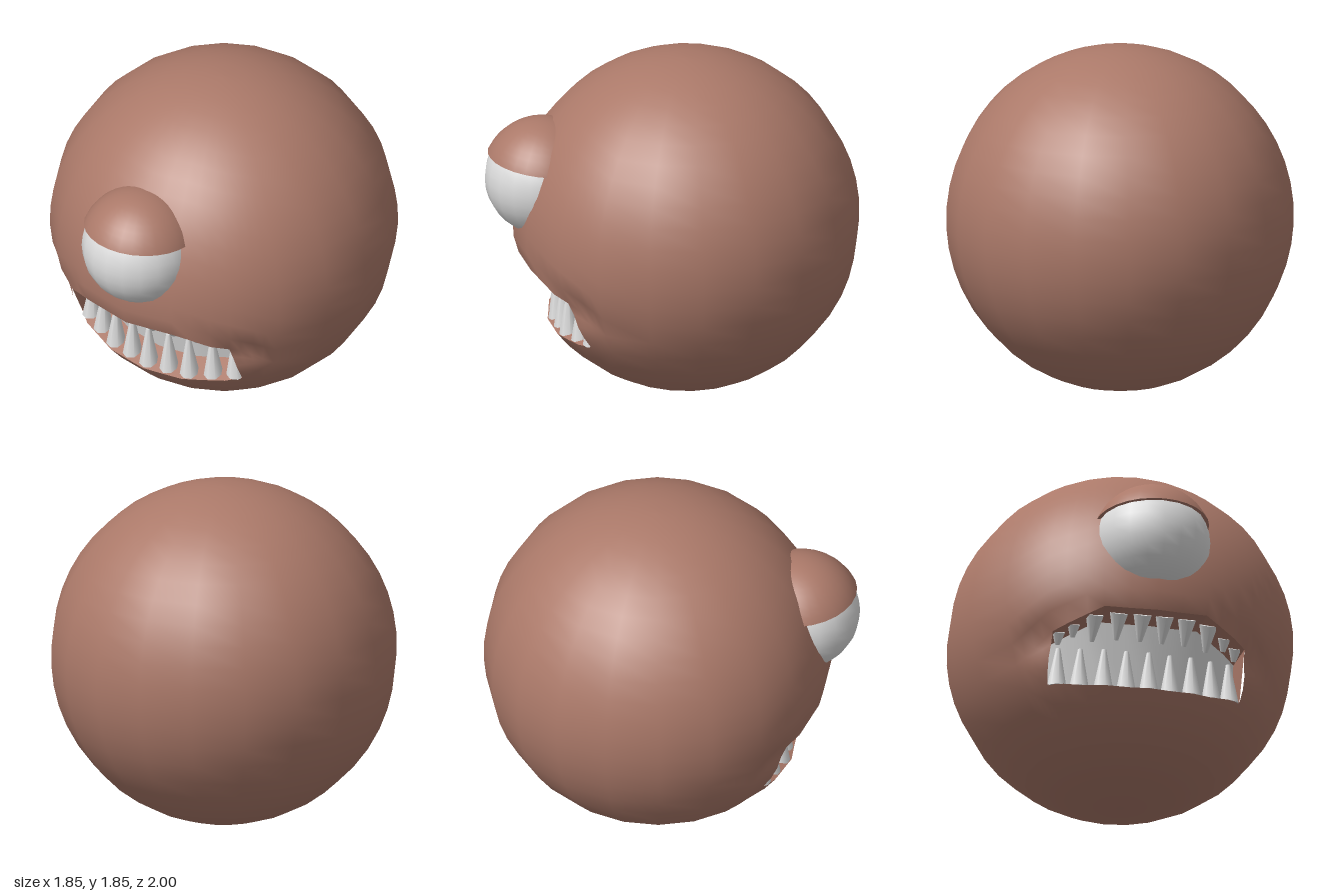
import * as THREE from 'three';
import { mergeGeometries } from 'three/addons/utils/BufferGeometryUtils.js';

const R = 0.925, CY = 0.925, CZ = -0.075;
const rad = THREE.MathUtils.degToRad, lerp = THREE.MathUtils.lerp;

// Point on the body: a 20-sided ball, pressed in around the mouth
function bodyPoint(az, th, faceted = true) {
  const a = rad(az), step = Math.PI / 10;
  const local = a - Math.floor(a / step) * step - step / 2;
  const flat = faceted ? Math.cos(step / 2) / Math.cos(local) : 1;
  const d = new THREE.Vector3(
    Math.sin(th) * Math.sin(a) * flat, Math.cos(th), Math.sin(th) * Math.cos(a) * flat);
  let dent = 0;
  if (d.z > 0) {
    const x = Math.abs(d.x * R), y = CY + d.y * R;
    dent += 0.035 * Math.exp(-(((x - 0.58) / 0.12) ** 2) - ((y - 0.64) / 0.09) ** 2);
    dent += 0.018 * Math.exp(-((x / 0.5) ** 4) - ((y - 0.74) / 0.06) ** 2);
  }
  return d.multiplyScalar(R - dent).add(new THREE.Vector3(0, CY, CZ));
}

function bodyNormal(az, th) {
  const t = THREE.MathUtils.clamp(th, 0.02, Math.PI - 0.02), e = 0.01;
  const down = bodyPoint(az, t + e, false).sub(bodyPoint(az, t - e, false));
  const right = bodyPoint(az + 0.5, t, false).sub(bodyPoint(az - 0.5, t, false));
  return down.cross(right).normalize();
}

// Surface through rows of points, rows running down and points to the right
function grid(rows, normals) {
  const n = rows[0].length, index = [];
  for (let j = 0; j < rows.length - 1; j++) {
    for (let i = 0; i < n - 1; i++) {
      const a = j * n + i, b = a + n;
      index.push(a, b, b + 1, a, b + 1, a + 1);
    }
  }
  const g = new THREE.BufferGeometry().setFromPoints(rows.flat());
  g.setIndex(index);
  if (normals) {
    g.setAttribute('normal', new THREE.Float32BufferAttribute(
      normals.flat().flatMap(v => v.toArray()), 3));
  } else g.computeVertexNormals();
  return g;
}

// Body patch between two edges of [azimuth, polar angle]
function patch(top, bottom, count) {
  const pts = [], nor = [];
  for (let j = 0; j <= count; j++) {
    const row = top.map((p, i) =>
      [lerp(p[0], bottom[i][0], j / count), lerp(p[1], bottom[i][1], j / count)]);
    pts.push(row.map(p => bodyPoint(...p)));
    nor.push(row.map(p => bodyNormal(...p)));
  }
  return grid(pts, nor);
}

const mirror = half => [...half.slice(1).reverse().map(p => [-p[0], p[1]]), ...half];

// Half of a lip edge, continued over the cheek and round to the back
function edge(azimuths, heights) {
  const polar = y => Math.acos((y - CY) / R);
  const seam = 0.545, last = azimuths.length - 1;
  const half = azimuths.map((a, i) => [a, polar(heights[i])]);
  for (let k = 1; k <= 4; k++) {
    half.push([lerp(azimuths[last], 54, k / 4), polar(lerp(heights[last], seam, k / 4))]);
  }
  for (let a = 72; a <= 180; a += 18) half.push([a, polar(seam)]);
  return half;
}

// Point on a lip at a given x
function along(points, x) {
  let i = 0;
  while (i < points.length - 2 && points[i + 1].x < x) i++;
  const a = points[i], b = points[i + 1];
  return a.clone().lerp(b, (x - a.x) / (b.x - a.x));
}

export function createModel() {
  const skin = new THREE.MeshStandardMaterial({ color: 0xab7969 });
  skin.name = 'skin';
  const white = new THREE.MeshStandardMaterial({ color: 0xdddddd });
  white.name = 'white';
  const model = new THREE.Group();
  model.name = 'oneEyedBall';
  const add = (name, geometry, material, parent = model) => {
    const m = new THREE.Mesh(geometry, material);
    m.name = name;
    parent.add(m);
    return m;
  };

  // Body: upper part, lower part and the cheeks beside the mouth
  const upper = edge([0, 9, 18, 24, 31, 37.5], [0.758, 0.763, 0.77, 0.738, 0.70, 0.67]);
  const lower = edge([0, 9, 18, 27, 36, 43], [0.37, 0.372, 0.378, 0.388, 0.405, 0.42]);
  const U = mirror(upper), L = mirror(lower);
  const cheekU = upper.slice(5, 10), cheekL = lower.slice(5, 10);
  const flip = e => e.map(p => [-p[0], p[1]]).reverse();
  add('body', mergeGeometries([
    patch(U.map(p => [p[0], 0]), U, 16),
    patch(L, L.map(p => [p[0], Math.PI]), 8),
    patch(cheekU, cheekL, 4),
    patch(flip(cheekU), flip(cheekL), 4),
  ]), skin);

  // Mouth: lip rim running inward, closed by a pale wall
  const lipU = mirror(upper.slice(0, 6)).map(p => bodyPoint(...p));
  const lipL = mirror(lower.slice(0, 6)).map(p => bodyPoint(...p));
  const inU = lipU.map(p => new THREE.Vector3(p.x * 0.98, p.y + 0.005, p.z - 0.22));
  const inL = lipL.map(p => new THREE.Vector3(p.x * 0.98, p.y + 0.06, p.z - 0.15));
  const ring = (a, b) => [...a, ...[...b].reverse(), a[0]];
  const rim = grid([ring(lipU, lipL), ring(inU, inL)]).toNonIndexed();
  rim.computeVertexNormals();
  add('lipRim', rim, skin);
  add('mouthWall', grid([inU, inL]), white);

  // Teeth: blunt cones along both lips
  const teeth = new THREE.Group();
  teeth.name = 'teeth';
  model.add(teeth);
  const tooth = (name, base, tip, width) => {
    const dir = tip.clone().sub(base);
    const m = add(name, new THREE.CylinderGeometry(0.013, width, dir.length(), 8), white, teeth);
    m.position.copy(base).add(tip).multiplyScalar(0.5);
    m.quaternion.setFromUnitVectors(new THREE.Vector3(0, 1, 0), dir.normalize());
  };
  for (const x of [-0.47, -0.36, -0.24, -0.12, 0, 0.12, 0.24, 0.36, 0.47]) {
    const base = along(lipL, x).add(new THREE.Vector3(0, 0.005, -0.058));
    const tip = new THREE.Vector3(x * 0.985, 0.6 + 0.18 * x * x, base.z + 0.005);
    tooth('lowerTooth', base, tip, 0.054);
  }
  for (const x of [-0.48, -0.41, -0.31, -0.185, -0.06, 0.06, 0.185, 0.31, 0.41, 0.48]) {
    const base = along(lipU, x).add(new THREE.Vector3(0, 0.005, -0.085));
    const drop = Math.abs(x) > 0.4 ? 0.06 : 0.125;
    const tip = new THREE.Vector3(x, base.y - drop, base.z - drop * 0.6);
    tooth('upperTooth', base, tip, Math.abs(x) > 0.4 ? 0.035 : 0.05);
  }

  // Eye with a half-closed lid
  const eye = new THREE.Group();
  eye.name = 'eye';
  eye.position.set(0, 1.195, 0.69);
  model.add(eye);
  add('eyeball', new THREE.SphereGeometry(0.31, 20, 16), white, eye);
  const lid = new THREE.Group();
  lid.name = 'eyelid';
  lid.rotation.x = -rad(5);
  eye.add(lid);
  const r = 0.327, open = rad(69);
  add('lidShell', new THREE.SphereGeometry(r, 28, 10, 0, Math.PI * 2, 0, open), skin, lid);
  const lidEdge = add('lidEdge',
    new THREE.RingGeometry(0.27, r * Math.sin(open), 28), skin, lid);
  lidEdge.rotation.x = Math.PI / 2;
  lidEdge.position.y = r * Math.cos(open);

  return model;
}
